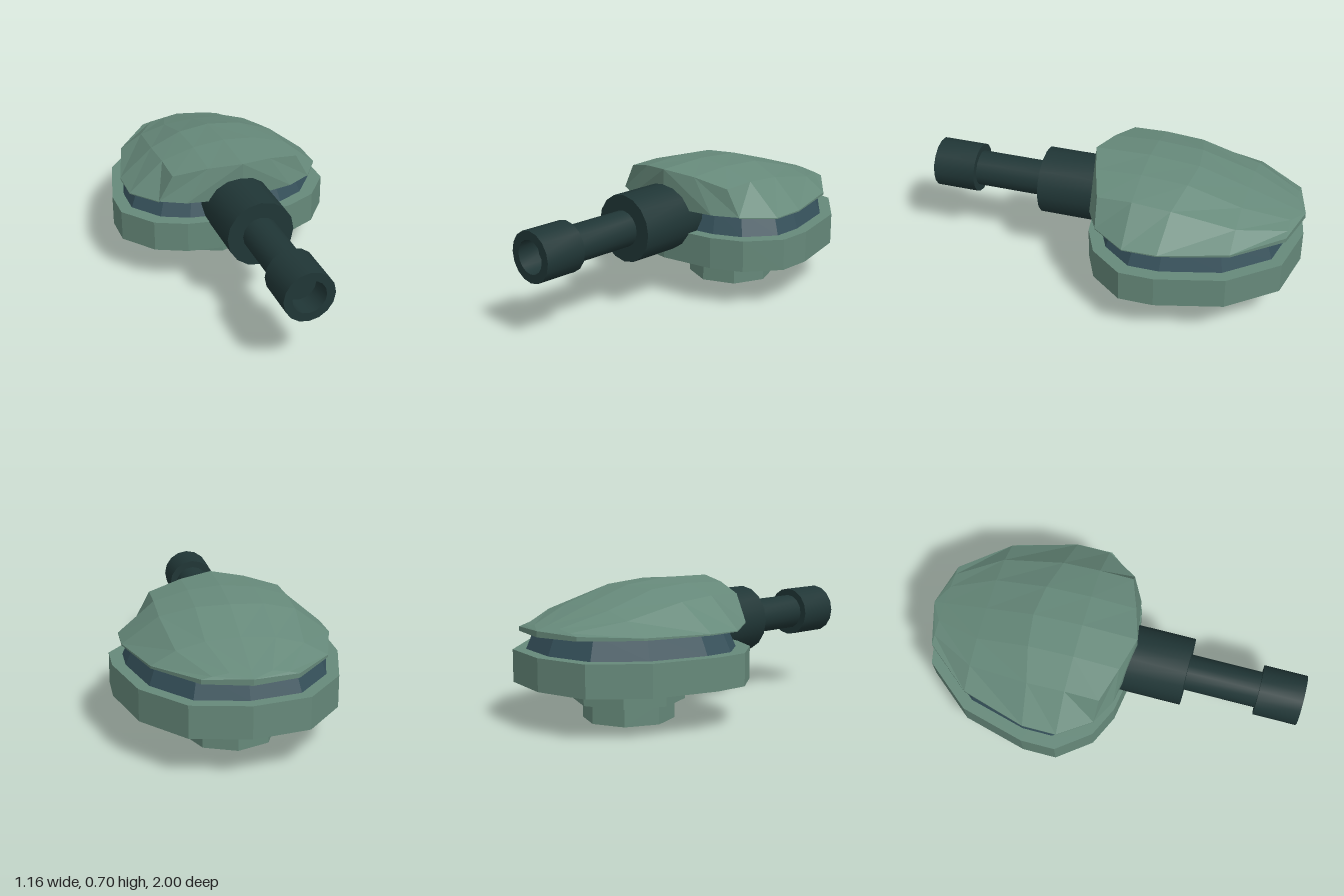
import * as THREE from 'three';
import { toCreasedNormals } from 'three/addons/utils/BufferGeometryUtils.js';

const green = new THREE.MeshStandardMaterial({ name: 'armourGreen', color: 0x66897a });
const slate = new THREE.MeshStandardMaterial({ name: 'slateBand', color: 0x35505a });
const dark = new THREE.MeshStandardMaterial({ name: 'gunmetal', color: 0x203636 });

const MID_Z = -0.44;

// Half plan of the turret, front to back, as [x, z]
const HALF_PLAN = [[0, 0.11], [0.29, 0.065], [0.45, -0.01], [0.58, -0.18],
  [0.58, -0.36], [0.49, -0.7], [0.29, -0.94], [0, -1]];

// Upright prism on the plan, scaled about its middle at bottom and top
function planPrism(y0, y1, s0, s1) {
  const other = HALF_PLAN.slice(1, -1).reverse().map(([x, z]) => [-x, z]);
  const pts = [...HALF_PLAN, ...other].map(([x, z]) => new THREE.Vector2(x, MID_Z - z));
  const geo = new THREE.ExtrudeGeometry(new THREE.Shape(pts), { depth: y1 - y0, bevelEnabled: false });
  geo.rotateX(-Math.PI / 2);
  const p = geo.attributes.position;
  for (let i = 0; i < p.count; i++) {
    const s = THREE.MathUtils.lerp(s0, s1, p.getY(i) / (y1 - y0));
    p.setXYZ(i, p.getX(i) * s, p.getY(i) + y0, p.getZ(i) * s + MID_Z);
  }
  geo.computeVertexNormals();
  return geo;
}

// Faceted shell lofted through mirrored cross-sections
function domeGeometry() {
  // Each section runs from the centre line to the lower rim
  const sections = [
    [[0, 0.495, 0.11], [0.29, 0.495, 0.06], [0.42, 0.495, -0.01], [0.42, 0.495, -0.01], [0.42, 0.49, -0.01]],
    [[0, 0.695, 0.11], [0.17, 0.675, 0.06], [0.345, 0.632, 0], [0.42, 0.495, -0.01], [0.42, 0.49, -0.01]],
    [[0, 0.703, -0.18], [0.17, 0.687, -0.18], [0.345, 0.637, -0.18], [0.53, 0.48, -0.18], [0.53, 0.475, -0.18]],
    [[0, 0.683, -0.44], [0.17, 0.672, -0.42], [0.345, 0.622, -0.38], [0.53, 0.482, -0.36], [0.53, 0.475, -0.36]],
    [[0, 0.603, -0.7], [0.17, 0.592, -0.7], [0.31, 0.555, -0.7], [0.43, 0.487, -0.7], [0.43, 0.475, -0.7]],
    [[0, 0.524, -0.94], [0.1, 0.52, -0.94], [0.18, 0.508, -0.94], [0.23, 0.497, -0.94], [0.23, 0.475, -0.94]],
    [[0, 0.505, -1], [0, 0.505, -1], [0, 0.505, -1], [0, 0.505, -1], [0, 0.475, -1]],
  ];
  const flip = ([x, y, z]) => [-x, y, z];
  const rows = sections.map((s) => [...s.slice(1).reverse().map(flip), ...s]);
  const pos = [];
  const tri = (...corners) => corners.forEach((c) => pos.push(...c));
  for (let i = 0; i < rows.length - 1; i++) {
    for (let j = 0; j < 8; j++) {
      const a = rows[i][j], b = rows[i][j + 1], c = rows[i + 1][j + 1], d = rows[i + 1][j];
      if (j < 4) { tri(a, b, c); tri(a, c, d); } else { tri(a, b, d); tri(b, c, d); }
    }
  }
  // Underside, fanned from the middle
  const half = [...sections[0].slice(0, 3), ...sections.slice(1).map((s) => s[4])];
  for (let i = 0; i < half.length - 1; i++) {
    const mid = [0, 0.478, MID_Z];
    tri(mid, half[i + 1], half[i]);
    tri(mid, flip(half[i]), flip(half[i + 1]));
  }
  const geo = new THREE.BufferGeometry();
  geo.setAttribute('position', new THREE.Float32BufferAttribute(pos, 3));
  geo.computeVertexNormals();
  return geo;
}

// Eight-sided drum with flat faces
function drum(radius, y0, y1) {
  const geo = new THREE.CylinderGeometry(radius, radius, y1 - y0, 8);
  geo.translate(0, (y0 + y1) / 2, MID_Z + 0.005);
  return toCreasedNormals(geo, 0.1);
}

// Stepped gun barrel with a hollow muzzle, turned about z
function barrelGeometry() {
  const profile = [[0, -0.04], [0.178, -0.04], [0.178, 0.39], [0.095, 0.39], [0.095, 0.77],
    [0.132, 0.77], [0.132, 1], [0.087, 1], [0.087, 0.88], [0, 0.88]];
  const geo = new THREE.LatheGeometry(profile.map(([r, z]) => new THREE.Vector2(r, z)), 16);
  geo.rotateX(Math.PI / 2);
  geo.translate(-0.01, 0.435, 0);
  return toCreasedNormals(geo, 0.6);
}

export function createModel() {
  const group = new THREE.Group();
  group.name = 'gunTurret';
  const add = (name, geo, mat) => {
    const mesh = new THREE.Mesh(geo, mat);
    mesh.name = name;
    group.add(mesh);
  };
  add('lowerPedestal', drum(0.236, 0, 0.1), green);
  add('upperPedestal', drum(0.29, 0.1, 0.21), green);
  add('turretBase', planPrism(0.21, 0.375, 1, 1), green);
  add('visionBand', planPrism(0.375, 0.493, 0.885, 0.8), slate);
  add('domeShell', domeGeometry(), green);
  add('gunBarrel', barrelGeometry(), dark);
  return group;
}
